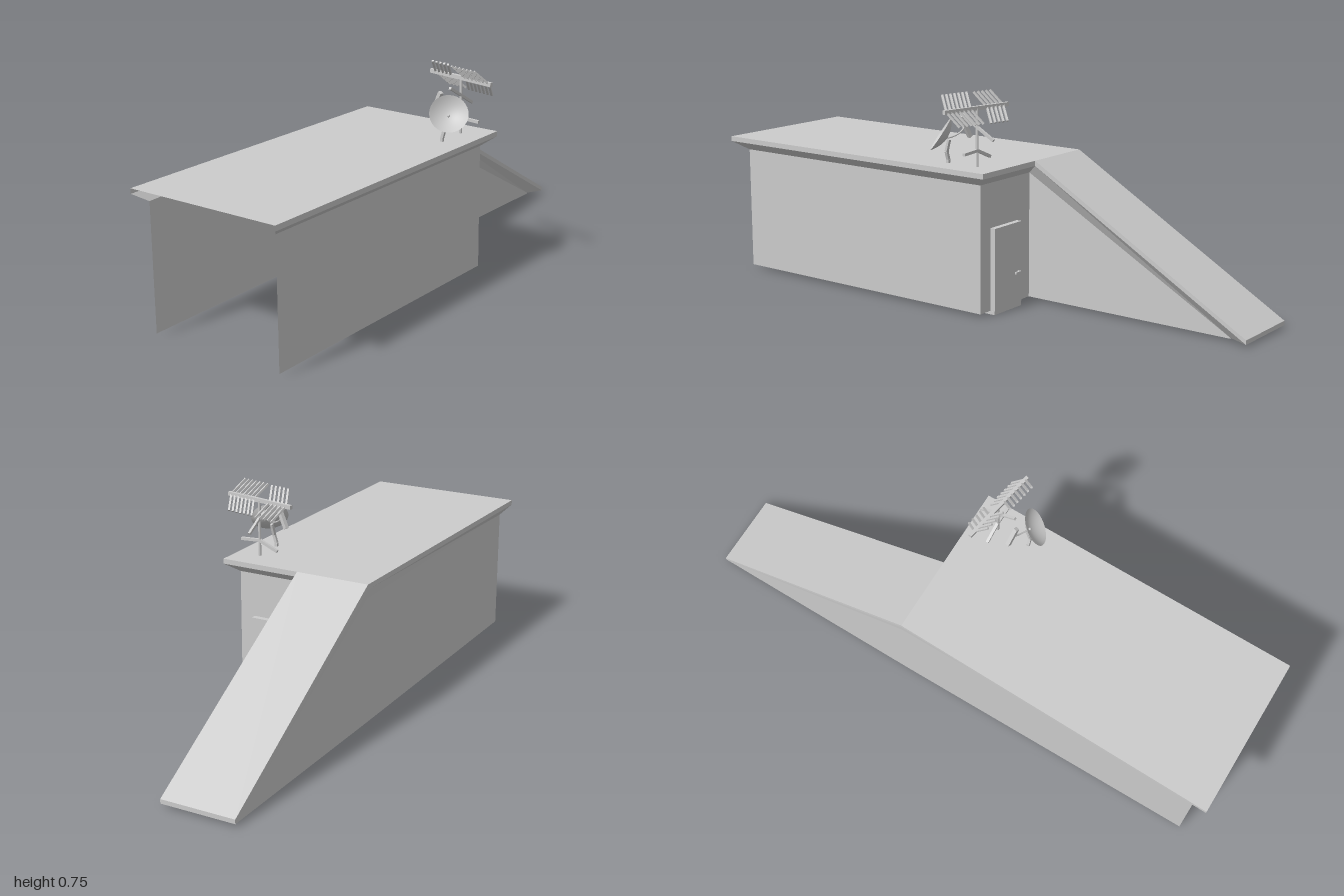
import * as THREE from 'three';

const V = (x, y, z) => new THREE.Vector3(x, y, z);
const mat = new THREE.MeshStandardMaterial({ color: 0xcccccc, side: THREE.DoubleSide });

function add(parent, name, geo) {
  const mesh = new THREE.Mesh(geo, mat);
  mesh.name = name;
  parent.add(mesh);
  return mesh;
}

function group(parent, name) {
  const g = new THREE.Group();
  g.name = name;
  parent.add(g);
  return g;
}

// Unshared triangles from corner points, flat shaded
function surface(points) {
  const geo = new THREE.BufferGeometry().setFromPoints(points);
  geo.computeVertexNormals();
  return geo;
}

const quad = (a, b, c, d) => [a, b, c, a, c, d];

// Square bar between two points
function bar(parent, name, a, b, w, h = w) {
  const mesh = add(parent, name, new THREE.BoxGeometry(w, h, a.distanceTo(b)));
  mesh.position.copy(a).lerp(b, 0.5);
  mesh.lookAt(b);
  return mesh;
}

function buildShell(parent) {
  const shell = group(parent, 'bunkerShell');

  // Cross-sections around the outline: roof edge, fascia bottom, wall top, wall foot
  const section = (x, z, top, lip, wx, wz, wallTop, foot = 0.012) =>
    [V(x, top, z), V(x, lip, z), V(wx, wallTop, wz), V(wx, foot, wz)];
  const s = [
    section(0.262, 1, 0.505, 0.487, 0.22, 0.95, 0.455),
    section(0.262, -0.18, 0.505, 0.487, 0.22, -0.137, 0.455),
    section(-0.03, -0.18, 0.505, 0.487, -0.057, -0.137, 0.455),
    section(-0.03, -1, 0.025, 0.01, -0.057, -0.93, 0.013, 0.01),
    section(-0.296, -1, 0.025, 0.01, -0.295, -0.998, 0.01, 0.009),
    section(-0.298, -0.18, 0.505, 0.487, -0.296, -0.18, 0.455),
    section(-0.315, 1, 0.505, 0.487, -0.287, 0.95, 0.455),
  ];

  const walls = [], fascia = [];
  for (let i = 0; i < s.length - 1; i++) {
    const a = s[i], b = s[i + 1];
    fascia.push(...quad(a[0], a[1], b[1], b[0]));
    if (i === 3) continue; // the ramp end is only a low lip
    for (let r = 1; r < 3; r++) walls.push(...quad(a[r], a[r + 1], b[r + 1], b[r]));
  }
  add(shell, 'walls', surface(walls));
  add(shell, 'roofFascia', surface(fascia));

  // Flat roof and sloping stair roof
  const t = s.map((p) => p[0]);
  add(shell, 'flatRoof', surface([
    t[0], t[1], t[2], t[0], t[2], t[5], t[0], t[5], t[6],
  ]));
  add(shell, 'slopingRoof', surface(quad(t[2], t[3], t[4], t[5])));
}

function buildDoor(parent) {
  const door = group(parent, 'door');
  const leaf = add(door, 'doorLeaf', new THREE.BoxGeometry(0.15, 0.29, 0.02));
  leaf.position.set(0.09, 0.155, -0.147);
  const step = add(door, 'doorStep', new THREE.BoxGeometry(0.152, 0.012, 0.055));
  step.position.set(0.09, 0.006, -0.128);
  bar(door, 'handleStem', V(0.035, 0.125, -0.155), V(0.035, 0.125, -0.168), 0.008);
  bar(door, 'handleGrip', V(0.031, 0.125, -0.166), V(0.06, 0.125, -0.166), 0.007);
}

function buildDish(parent) {
  const dish = group(parent, 'satelliteDish');
  const normal = V(0.5, 0.55, 0.67).normalize();
  const vertex = V(0.208, 0.608, 0.04).addScaledVector(normal, -0.026);

  // Shallow parabolic bowl
  const profile = [];
  for (let i = 0; i <= 8; i++) {
    const r = i / 8;
    profile.push(new THREE.Vector2(0.066 * r, 0.026 * r * r));
  }
  const bowl = add(dish, 'dishBowl', new THREE.LatheGeometry(profile, 32));
  bowl.position.copy(vertex);
  bowl.quaternion.setFromUnitVectors(V(0, 1, 0), normal);
  const hub = add(dish, 'dishHub', new THREE.SphereGeometry(0.005, 10, 8));
  hub.position.copy(vertex).addScaledVector(normal, 0.003);

  // Bent mast that passes down through the roof
  const mast = [[0.188, 0.588], [0.186, 0.545], [0.177, 0.517], [0.177, 0.495], [0.193, 0.436], [0.175, 0.38]]
    .map(([x, y], i) => V(x, y, i ? 0.033 : 0.02));
  for (let i = 0; i < mast.length - 1; i++) bar(dish, 'dishMast', mast[i], mast[i + 1], 0.01);

  // Side bracket with curved arm
  bar(dish, 'dishBracket', V(0.148, 0.664, 0.0), V(0.112, 0.59, -0.01), 0.014);
  const arm = new THREE.QuadraticBezierCurve3(V(0.13, 0.632, -0.004), V(0.145, 0.6, 0), vertex);
  add(dish, 'dishArm', new THREE.TubeGeometry(arm, 10, 0.003, 6));
}

function buildAerial(parent) {
  const aerial = group(parent, 'roofAerial');
  const x = 0.172, z = -0.087;
  const mast = add(aerial, 'aerialMast', new THREE.CylinderGeometry(0.005, 0.005, 0.2, 8));
  mast.position.set(x, 0.602, z);

  // Boom, slightly turned in plan
  const a = V(0.032, 0.702, -0.11), b = V(0.312, 0.702, -0.058);
  bar(aerial, 'boom', a, b, 0.012, 0.014);

  // Swept elements fanning away from the mast
  const rake = V(-0.008, 0.048, 0.043);
  const addElement = (px, side) => {
    const mid = a.clone().lerp(b, (px - a.x) / (b.x - a.x));
    for (const end of [1, -1]) {
      const tip = mid.clone().addScaledVector(rake, end);
      tip.x -= side * 0.024;
      bar(aerial, 'element', mid, tip, 0.007);
    }
  };
  for (let i = 0; i < 5; i++) addElement(0.055 + i * 0.018, -1);
  for (let i = 0; i < 7; i++) addElement(0.198 + i * 0.0172, 1);

  // Lower crossbars on the mast
  bar(aerial, 'tiltedCrossbar', V(x, 0.678, -0.02), V(x, 0.6, -0.155), 0.009);
  bar(aerial, 'lowerCrossbar', V(0.102, 0.53, z), V(x, 0.56, z), 0.01);
  bar(aerial, 'lowerCrossbar', V(x, 0.56, z), V(0.245, 0.556, z), 0.01);
}

export function createModel() {
  const model = new THREE.Group();
  model.name = 'rooftopBunker';
  buildShell(model);
  buildDoor(model);
  buildDish(model);
  buildAerial(model);
  return model;
}
